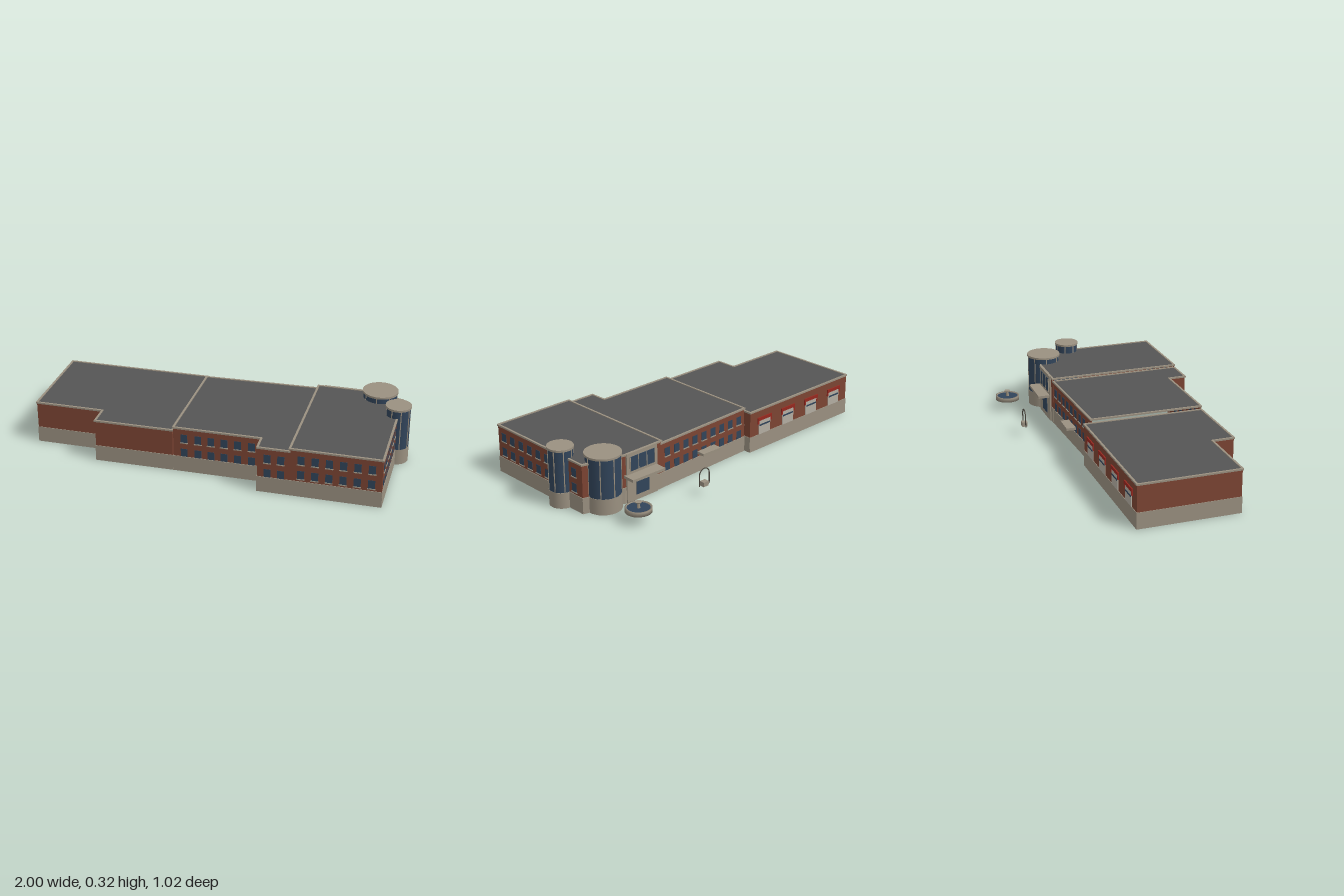
import * as THREE from 'three';

const mat = (name, color, side = THREE.FrontSide) => {
  const m = new THREE.MeshStandardMaterial({ color, side });
  m.name = name;
  return m;
};

export function createModel() {
  const stone = mat('stone', 0x9a9080);
  const brick = mat('brick', 0x7c4433);
  const glass = mat('glass', 0x31445a);
  const roofing = mat('roofing', 0x555555, THREE.DoubleSide);
  const doorPaint = mat('door paint', 0xb3ada2);
  const redPaint = mat('red paint', 0x96281f);
  const iron = mat('iron', 0x4c473f);
  const model = new THREE.Group();
  model.name = 'building';

  const add = (parent, name, geo, m, x = 0, y = 0, z = 0) => {
    const mesh = new THREE.Mesh(geo, m);
    mesh.name = name;
    mesh.position.set(x, y, z);
    parent.add(mesh);
    return mesh;
  };
  // box given by its limits on each axis
  const box = (parent, name, m, [x0, x1], [y0, y1], [z0, z1]) =>
    add(parent, name, new THREE.BoxGeometry(x1 - x0, y1 - y0, z1 - z0), m,
      (x0 + x1) / 2, (y0 + y1) / 2, (z0 + z1) / 2);

  const T = 0.006, BASE = 0.088;

  // two rows of windows with sills; local +z points outward
  const windowRows = (g, xs, h, innerOnly) => {
    for (const x of xs) {
      for (const top of [h - 0.04, h - 0.123]) {
        box(g, 'window', glass, [x - 0.018, x + 0.018], [top - 0.046, top],
          [-T - 0.0015, innerOnly ? -T / 2 : 0.0015]);
        if (!innerOnly) {
          box(g, 'windowSill', stone, [x - 0.021, x + 0.021], [top - 0.051, top - 0.046], [0, 0.005]);
        }
      }
    }
  };

  // wall from a to b, outside on the right-hand side of travel
  const wall = (name, a, b, h, { windows = [], inner = false, open = false } = {}) => {
    const g = new THREE.Group();
    g.name = name;
    g.position.set(a[0], 0, a[1]);
    g.rotation.y = Math.atan2(a[1] - b[1], b[0] - a[0]);
    const len = Math.hypot(b[0] - a[0], b[1] - a[1]);
    if (!open) {
      box(g, 'brickWall', brick, [0, len], [0, h - 0.004], [-T, 0]);
      box(g, 'stoneBase', stone, [-0.002, len + 0.002], [0, BASE], [0, 0.003]);
    }
    box(g, 'coping', stone, [-0.004, len + 0.004], [h - 0.009, h], [-T, 0.005]);
    windowRows(g, windows, h, inner);
    model.add(g);
    return g;
  };

  const spread = (n, from, to) =>
    Array.from({ length: n }, (_, i) => from + (to - from) * i / (n - 1));

  const roof = (name, pts, h) => {
    const geo = new THREE.ShapeGeometry(new THREE.Shape(pts.map(p => new THREE.Vector2(p[0], -p[1]))));
    add(model, name, geo.rotateX(-Math.PI / 2), roofing, 0, h - 0.004, 0);
  };

  // each wing: height, outline and options for the wall starting at each corner
  const wings = [
    ['westWing', 0.238, [
      [-0.98, 0.325, { windows: spread(5, 0.04, 0.33), inner: true }],
      [-0.605, 0.315, {}, 'step'],
      [-0.6, 0.435, {}],
      [-0.175, 0.42, { windows: spread(8, 0.06, 0.6) }],
      [-0.19, -0.245, {}],
      [-0.998, -0.22, { windows: spread(7, 0.05, 0.5), inner: true }],
    ]],
    ['middleWing', 0.256, [
      [-0.17, 0.42, { windows: [0.058, 0.133, 0.203, 0.273, 0.346, 0.42] }],
      [0.3, 0.405, {}],
      [0.305, 0.503, { windows: [0.053, 0.123] }],
      [0.472, 0.498, { windows: spread(9, 0.06, 0.68) }],
      [0.45, -0.243, { windows: spread(9, 0.045, 0.59) }],
      [-0.182, -0.205, { open: true }],
    ]],
    ['eastWing', 0.271, [
      [0.472, 0.498, { windows: spread(6, 0.06, 0.42) }],
      [0.945, 0.485, { windows: [0.048, 0.119, 0.193, 0.264, 0.335, 0.406, 0.622] }],
      [0.925, -0.2, {}],
      [0.7, -0.252, {}],
      [0.45, -0.245, { open: true }],
    ]],
  ];
  const walls = {};
  for (const [name, h, corners] of wings) {
    roof(name + 'Roof', corners, h);
    walls[name] = corners.map((c, i) =>
      wall(name + 'Wall', c, corners[(i + 1) % corners.length], h, c[2]));
  }

  // loading doors on the back of the west wing
  const dock = walls.westWing[4];
  for (const x of [0.112, 0.303, 0.498, 0.695]) {
    box(dock, 'loadingDoor', doorPaint, [x - 0.045, x + 0.045], [BASE, 0.17], [0, 0.004]);
    box(dock, 'doorWindow', glass, [x - 0.04, x + 0.04], [0.138, 0.147], [0, 0.006]);
    box(dock, 'doorLintel', redPaint, [x - 0.055, x + 0.055], [0.17, 0.188], [0, 0.007]);
    for (const s of [-1, 1]) {
      box(dock, 'doorJamb', redPaint, [x + s * 0.05 - 0.005, x + s * 0.05 + 0.005], [0.15, 0.17], [0, 0.006]);
    }
  }

  // small canopy on the back of the middle wing
  box(model, 'sideCanopy', stone, [0.057, 0.182], [0.104, 0.118], [-0.275, -0.215]);

  // main entrance: stone surround, glazing and canopy
  const entry = walls.eastWing[3];
  box(entry, 'entranceSurround', stone, [0.01, 0.215], [0, 0.271], [0, 0.009]);
  box(entry, 'entranceGlazing', glass, [0.03, 0.195], [0.172, 0.25], [0.009, 0.012]);
  for (const x of spread(4, 0.03, 0.195)) {
    box(entry, 'entranceMullion', stone, [x - 0.002, x + 0.002], [0.172, 0.25], [0.009, 0.014]);
  }
  box(entry, 'entranceDoors', glass, [0.07, 0.155], [0.03, 0.12], [0.009, 0.012]);
  box(model, 'entranceCanopy', stone, [0.49, 0.702], [0.141, 0.156], [-0.322, -0.25]);

  // round glazed towers
  const tower = (name, x, z, r, h, phase) => {
    const g = new THREE.Group();
    g.name = name;
    g.position.set(x, 0, z);
    const drum = (part, m, rad, y0, y1) =>
      add(g, part, new THREE.CylinderGeometry(rad, rad, y1 - y0, 32), m, 0, (y0 + y1) / 2, 0);
    drum('towerBase', stone, r, 0, 0.086);
    drum('towerGlass', glass, r - 0.002, 0.086, h - 0.011);
    drum('towerCap', stone, r + 0.003, h - 0.011, h);
    for (let i = 0; i < 8; i++) {
      const a = phase + i * Math.PI / 4;
      const bar = add(g, 'towerMullion', new THREE.BoxGeometry(0.005, h - 0.09, 0.005), stone,
        Math.cos(a) * (r - 0.002), (h + 0.08) / 2, Math.sin(a) * (r - 0.002));
      bar.rotation.y = -a;
    }
    model.add(g);
  };
  tower('largeTower', 0.8, -0.21, 0.093, 0.307, 0.05);
  tower('smallTower', 0.928, -0.033, 0.066, 0.321, 0.4);

  // fountain
  const fountain = new THREE.Group();
  fountain.name = 'fountain';
  fountain.position.set(0.77, 0, -0.442);
  model.add(fountain);
  const rim = [[0, 0.056], [0.069, 0.056], [0.069, 0.079], [0.06, 0.079], [0.06, 0.07]];
  add(fountain, 'basin', new THREE.LatheGeometry(rim.map(p => new THREE.Vector2(...p)), 24), stone);
  add(fountain, 'water', new THREE.CylinderGeometry(0.061, 0.061, 0.003, 24), glass, 0, 0.073, 0);
  add(fountain, 'pedestal', new THREE.CylinderGeometry(0.007, 0.009, 0.03, 10), stone, 0, 0.088, 0);
  add(fountain, 'upperBowl', new THREE.CylinderGeometry(0.018, 0.016, 0.005, 12), stone, 0, 0.105, 0);

  // small arch on a plinth
  const arch = new THREE.Group();
  arch.name = 'gardenArch';
  arch.position.set(0.335, 0, -0.445);
  model.add(arch);
  box(arch, 'plinth', stone, [-0.017, 0.017], [0.05, 0.075], [-0.015, 0.015]);
  add(arch, 'archHoop', new THREE.TorusGeometry(0.034, 0.003, 6, 20, Math.PI), iron, 0, 0.113, 0);
  for (const s of [-1, 1]) {
    add(arch, 'archPost', new THREE.CylinderGeometry(0.003, 0.003, 0.06, 6), iron, s * 0.034, 0.083, 0);
  }
  return model;
}
